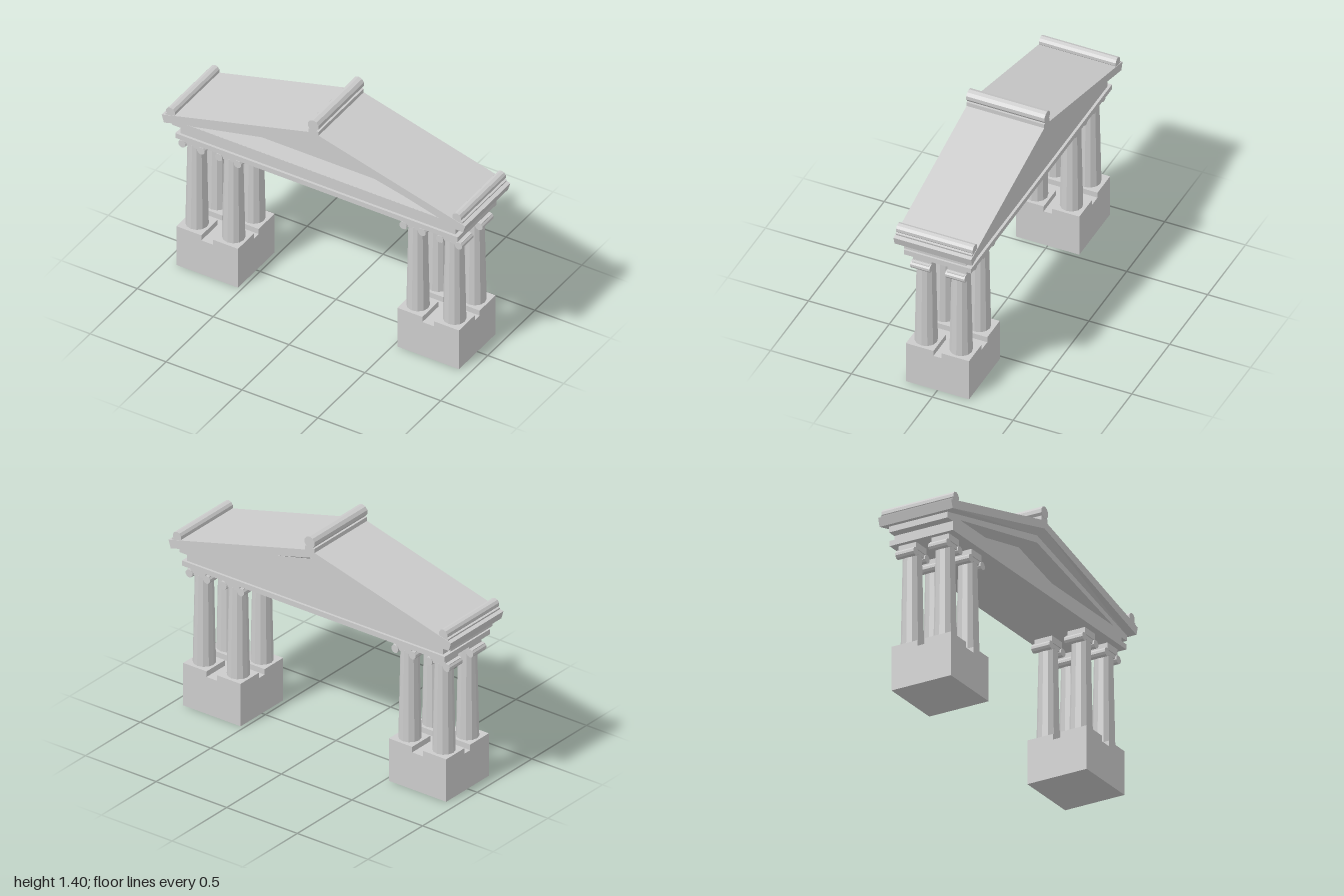
import * as THREE from 'three';

const material = new THREE.MeshStandardMaterial({ color: 0xcccccc, flatShading: true });
const openMaterial = new THREE.MeshStandardMaterial({ color: 0xcccccc, flatShading: true, side: THREE.DoubleSide });

function add(parent, name, geometry, x = 0, y = 0, z = 0, mat = material) {
  const mesh = new THREE.Mesh(geometry, mat);
  mesh.name = name;
  mesh.position.set(x, y, z);
  parent.add(mesh);
  return mesh;
}

// Box given by half width, bottom, top and half depth
function slab(parent, name, hx, y0, y1, hz, x = 0, z = 0) {
  return add(parent, name, new THREE.BoxGeometry(hx * 2, y1 - y0, hz * 2), x, (y0 + y1) / 2, z);
}

// Cylinder lying along z
function roll(parent, name, r, length, x, y, z = 0) {
  const geometry = new THREE.CylinderGeometry(r, r, length, 10).rotateX(Math.PI / 2);
  return add(parent, name, geometry, x, y, z);
}

function polygon(points, Type = THREE.Shape) {
  return new Type(points.map(([x, y]) => new THREE.Vector2(x, y)));
}

function extrude(shape, z0, z1) {
  return new THREE.ExtrudeGeometry(shape, { depth: z1 - z0, bevelEnabled: false }).translate(0, 0, z0);
}

// Tapered column with a scrolled capital
function createColumn(x, z) {
  const column = new THREE.Group();
  column.name = 'column';
  column.position.set(x, 0, z);
  add(column, 'shaft', new THREE.CylinderGeometry(0.054, 0.066, 0.57, 12), 0, 0.555, 0);
  slab(column, 'capitalBand', 0.078, 0.83, 0.857, 0.052);
  for (const s of [-1, 1]) roll(column, 'volute', 0.025, 0.12, s * 0.062, 0.834);
  slab(column, 'abacus', 0.054, 0.855, 0.895, 0.058);
  return column;
}

// Pedestal with four raised corner blocks and their columns
function createPier(side) {
  const pier = new THREE.Group();
  pier.name = side > 0 ? 'leftPier' : 'rightPier';
  pier.position.x = side * 0.728;
  slab(pier, 'pedestal', 0.203, 0, 0.235, 0.195);
  for (const sx of [-1, 1]) for (const sz of [-1, 1]) {
    slab(pier, 'plinth', 0.0825, 0.235, 0.27, 0.085, sx * 0.1205, sz * 0.11);
    pier.add(createColumn(sx * 0.1205, sz * 0.108));
  }
  return pier;
}

// Sloping underside joining the roof edge to the pediment wall
function soffitGeometry(side) {
  const z0 = side * 0.24, z1 = side * 0.19;
  const outer = [[-0.985, 1], [0, 1.265], [0.985, 1]];
  const inner = [[-0.96, 1], [0, 1.235], [0.96, 1]];
  const positions = [];
  for (let i = 0; i < 2; i++) {
    const a = [...outer[i], z0], b = [...outer[i + 1], z0];
    const c = [...inner[i + 1], z1], d = [...inner[i], z1];
    const corners = side > 0 ? [a, d, c, a, c, b] : [a, c, d, a, b, c];
    positions.push(...corners.flat());
  }
  const geometry = new THREE.BufferGeometry();
  geometry.setAttribute('position', new THREE.Float32BufferAttribute(positions, 3));
  geometry.computeVertexNormals();
  return geometry;
}

export function createModel() {
  const model = new THREE.Group();
  model.name = 'temple';
  model.add(createPier(1), createPier(-1));

  // Stepped beam
  slab(model, 'architrave', 0.93, 0.895, 0.927, 0.208);
  slab(model, 'frieze', 0.905, 0.927, 0.964, 0.192);
  slab(model, 'cornice', 0.96, 0.964, 1, 0.192);

  // Pediment: solid behind, with a sunken triangle in front
  const gable = [[-0.96, 1], [0.96, 1], [0, 1.235]];
  const frame = polygon(gable);
  frame.holes.push(polygon([[-0.83, 1.0005], [0, 1.19], [0.83, 1.0005]], THREE.Path));
  add(model, 'pedimentFrame', extrude(frame, 0.07, 0.19));
  add(model, 'tympanum', extrude(polygon(gable), -0.192, 0.07));

  // Roof
  const roof = polygon([[-0.985, 1], [0, 1.265], [0.985, 1], [1, 1.05], [0, 1.315], [-1, 1.05]]);
  add(model, 'roof', extrude(roof, -0.24, 0.24));
  for (const s of [-1, 1]) add(model, s > 0 ? 'frontSoffit' : 'backSoffit', soffitGeometry(s), 0, 0, 0, openMaterial);

  // Rolls along the ridge and eaves
  slab(model, 'ridgeBase', 0.034, 1.29, 1.332, 0.24);
  roll(model, 'ridgeRoll', 0.037, 0.484, 0, 1.363);
  for (const s of [-1, 1]) {
    const base = slab(model, 'eaveBase', 0.03, 1.05, 1.076, 0.236, s * 0.947);
    base.rotation.z = -s * 0.259;
    roll(model, 'eaveRoll', 0.03, 0.474, s * 0.943, 1.087);
  }
  return model;
}
